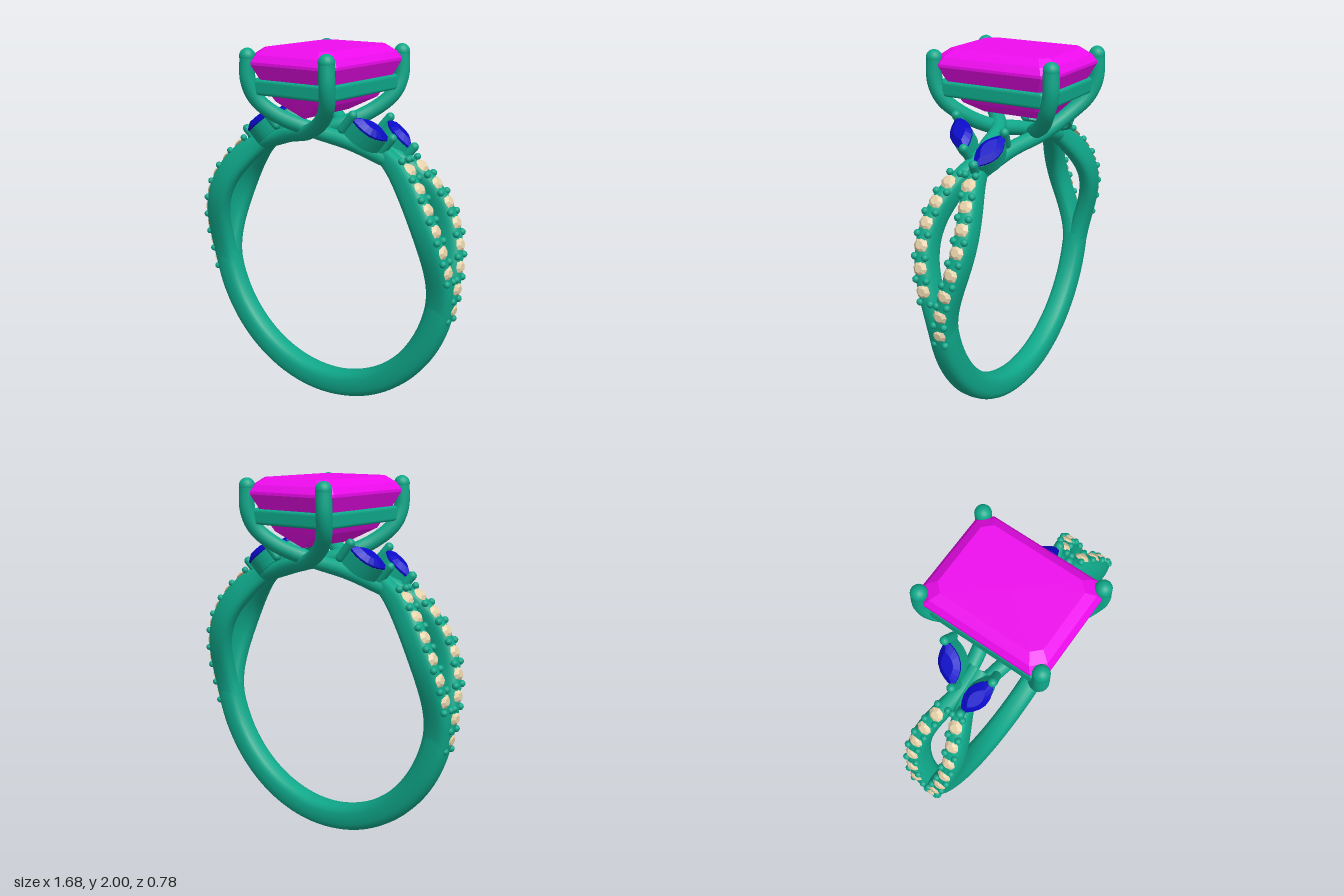
import * as THREE from 'three';

const paint = (color, flatShading = false) => new THREE.MeshStandardMaterial({ color, flatShading });
const metal = paint(0x0fa88a);
const magenta = paint(0xee0bee, true);
const blue = paint(0x0a0ac8, true);
const cream = paint(0xe6d2aa, true);
const V = (x, y, z) => new THREE.Vector3(x, y, z);
const CY = 0.83, R = 0.755; // ring centre height and mid radius

function add(parent, name, geometry, material) {
  const mesh = new THREE.Mesh(geometry, material);
  mesh.name = name;
  parent.add(mesh);
  return mesh;
}

// Faceted solid from matching loops, listed from top to bottom
function loft(rings) {
  const pos = [], n = rings[0].length;
  const tri = (...pts) => pts.forEach((p) => pos.push(p.x, p.y, p.z));
  const centre = (ring) => ring.reduce((s, p) => s.add(p), V(0, 0, 0)).divideScalar(n);
  const last = rings[rings.length - 1], top = centre(rings[0]), bottom = centre(last);
  for (let i = 0; i < n; i++) {
    const j = (i + 1) % n;
    tri(top, rings[0][j], rings[0][i]);
    tri(bottom, last[i], last[j]);
    for (let k = 0; k + 1 < rings.length; k++) {
      tri(rings[k][i], rings[k][j], rings[k + 1][i]);
      tri(rings[k][j], rings[k + 1][j], rings[k + 1][i]);
    }
  }
  const g = new THREE.BufferGeometry();
  g.setAttribute('position', new THREE.Float32BufferAttribute(pos, 3));
  g.computeVertexNormals();
  return g;
}

// Smooth sweep around the finger: at(u) gives {p, thick, wide}
function sweep(at, steps, sides = 20) {
  const pos = [], index = [];
  const soft = (v) => Math.sign(v) * Math.abs(v) ** 0.75;
  for (let k = 0; k <= steps; k++) {
    const u = k / steps, { p, thick, wide } = at(u);
    const t = at(u + 0.001).p.sub(at(u - 0.001).p).normalize();
    const n = V(p.x, p.y - CY, 0);
    n.addScaledVector(t, -n.dot(t)).normalize();
    const b = t.clone().cross(n);
    for (let i = 0; i < sides; i++) {
      const a = (i / sides) * Math.PI * 2;
      const q = p.clone().addScaledVector(n, soft(Math.cos(a)) * thick).addScaledVector(b, soft(Math.sin(a)) * wide);
      pos.push(q.x, q.y, q.z);
      if (k < steps) {
        const j = (i + 1) % sides, o = k * sides, m = o + sides;
        index.push(o + i, o + j, m + i, o + j, m + j, m + i);
      }
    }
  }
  const g = new THREE.BufferGeometry();
  g.setAttribute('position', new THREE.Float32BufferAttribute(pos, 3));
  g.setIndex(index);
  g.computeVertexNormals();
  return g;
}

const polar = (deg, r, z) => {
  const a = THREE.MathUtils.degToRad(deg);
  return V(r * Math.cos(a), CY + r * Math.sin(a), z);
};
// Sideways bulge of a split strand
const spread = (deg) => {
  const s = THREE.MathUtils.clamp((deg + 15) / 80, 0, 1);
  return 0.015 + 0.092 * Math.sin(Math.PI * s) ** 2;
};

// Pointed oval loop
function marquise(L, W, y, n = 20) {
  return Array.from({ length: n }, (_, i) => {
    const a = (i / n) * Math.PI * 2, s = Math.sin(a);
    return V(L * Math.cos(a), y, W * s * Math.abs(s));
  });
}

// Marquise stone in its cup with a claw at each point
function marquiseSetting(centre, axis, facing) {
  const g = new THREE.Group();
  g.name = 'marquiseSetting';
  const x = axis.clone().normalize();
  const y = facing.clone().addScaledVector(x, -facing.dot(x)).normalize();
  g.applyMatrix4(new THREE.Matrix4().makeBasis(x, y, x.clone().cross(y)).setPosition(centre));
  add(g, 'sideStone', loft([marquise(0.065, 0.032, 0.03), marquise(0.118, 0.06, 0.005),
    marquise(0.118, 0.06, -0.005), marquise(0.03, 0.012, -0.06)]), blue);
  const flat = (L, W) => marquise(L, W, 0, 40).map((p) => new THREE.Vector2(p.x, p.z));
  const shape = new THREE.Shape(flat(0.118, 0.058));
  shape.holes.push(new THREE.Path(flat(0.085, 0.038)));
  const cup = new THREE.ExtrudeGeometry(shape, { depth: 0.085, bevelEnabled: false });
  add(g, 'stoneCup', cup.rotateX(Math.PI / 2).translate(0, -0.008, 0), metal);
  for (const s of [1, -1]) {
    const claw = add(g, 'claw', new THREE.CapsuleGeometry(0.024, 0.1, 6, 14), metal);
    claw.position.set(s * 0.12, -0.03, 0);
  }
  return g;
}

const pave = new THREE.CylinderGeometry(0.021, 0.041, 0.016, 8);
const bead = new THREE.SphereGeometry(0.019, 12, 8);

// One shank shoulder on +x: two strands, pave, claws and side stones
function shoulder() {
  const g = new THREE.Group();
  g.name = 'shoulder';
  for (const s of [1, -1]) {
    add(g, 'splitStrand', sweep((u) => {
      const deg = -26 + 94 * u, f = THREE.MathUtils.smoothstep(deg, 38, 66);
      return { p: polar(deg, R - 0.015 * f, s * spread(deg)), thick: 0.072 - 0.03 * f, wide: 0.05 - 0.01 * f };
    }, 48), metal);

    // The strand continues under the setting and rises as the opposite prong
    const path = [V(0.43, 1.435, s * 0.03), V(0.2, 1.51, s * (s > 0 ? 0.06 : 0.085)),
      V(0, 1.56, s * (s > 0 ? 0.11 : 0.16)), V(-0.15, 1.645, s * 0.24), V(-0.232, 1.735, s * 0.31),
      V(-0.257, 1.83, s * 0.343), V(-0.256, 1.957, s * 0.345)];
    add(g, 'prong', new THREE.TubeGeometry(new THREE.CatmullRomCurve3(path), 56, 0.042, 16), metal);
    add(g, 'prongTip', new THREE.SphereGeometry(0.043, 20, 14), metal).position.copy(path[6]);

    // Pave stones with beads between; the rear strand carries two more
    const first = s > 0 ? 2 : 0;
    for (let i = first; i < 8; i++) {
      const deg = -10.5 + 8 * i;
      const stone = add(g, 'paveStone', pave, cream);
      stone.position.copy(polar(deg, R + 0.073, s * spread(deg)));
      stone.rotation.z = THREE.MathUtils.degToRad(deg - 90);
    }
    for (let i = first; i <= 8; i++) {
      const deg = -14.5 + 8 * i;
      for (const side of [1, -1]) {
        add(g, 'bead', bead, metal).position.copy(polar(deg, R + 0.066, s * spread(deg) + side * 0.031));
      }
    }
  }
  g.add(marquiseSetting(V(0.365, 1.605, 0.115), V(-0.17, 0.14, 0.16), V(0.63, 0.77, 0)));
  g.add(marquiseSetting(V(0.415, 1.555, -0.085), V(-0.21, 0.14, -0.07), V(0.45, 0.8, -0.25)));
  return g;
}

// Rectangle loop with cut corners
const cutRect = (hx, hz, c, y) => [[hx, c - hz], [hx, hz - c], [hx - c, hz], [c - hx, hz],
  [-hx, hz - c], [-hx, c - hz], [c - hx, -hz], [hx - c, -hz]].map(([x, z]) => V(x, y, z));

export function createModel() {
  const ring = new THREE.Group();
  ring.name = 'ring';

  // Plain lower band
  add(ring, 'band', sweep((u) => ({ p: polar(-172 + 164 * u, R, 0), thick: 0.075, wide: 0.068 }), 80), metal);

  // Both shoulders, one turned half round
  for (const turn of [0, Math.PI]) {
    const side = shoulder();
    side.rotation.y = turn;
    ring.add(side);
  }

  // Step-cut centre stone with a keel
  add(ring, 'centreStone', loft([cutRect(0.215, 0.295, 0.045, 2), cutRect(0.262, 0.342, 0.06, 1.965),
    cutRect(0.284, 0.364, 0.065, 1.93), cutRect(0.284, 0.364, 0.065, 1.915), cutRect(0.235, 0.31, 0.055, 1.81),
    cutRect(0.185, 0.26, 0.045, 1.72), cutRect(0.004, 0.2, 0.002, 1.635)]), magenta);

  // Gallery rail under the stone
  const outline = (hx, hz) => cutRect(hx, hz, 0.04, 0).map((p) => new THREE.Vector2(p.x, p.z));
  const rail = new THREE.Shape(outline(0.25, 0.325));
  rail.holes.push(new THREE.Path(outline(0.19, 0.265)));
  const railGeometry = new THREE.ExtrudeGeometry(rail,
    { depth: 0.05, bevelThickness: 0.016, bevelSize: 0.014, bevelSegments: 4 });
  add(ring, 'galleryRail', railGeometry.rotateX(Math.PI / 2).translate(0, 1.822, 0), metal);

  return ring;
}
